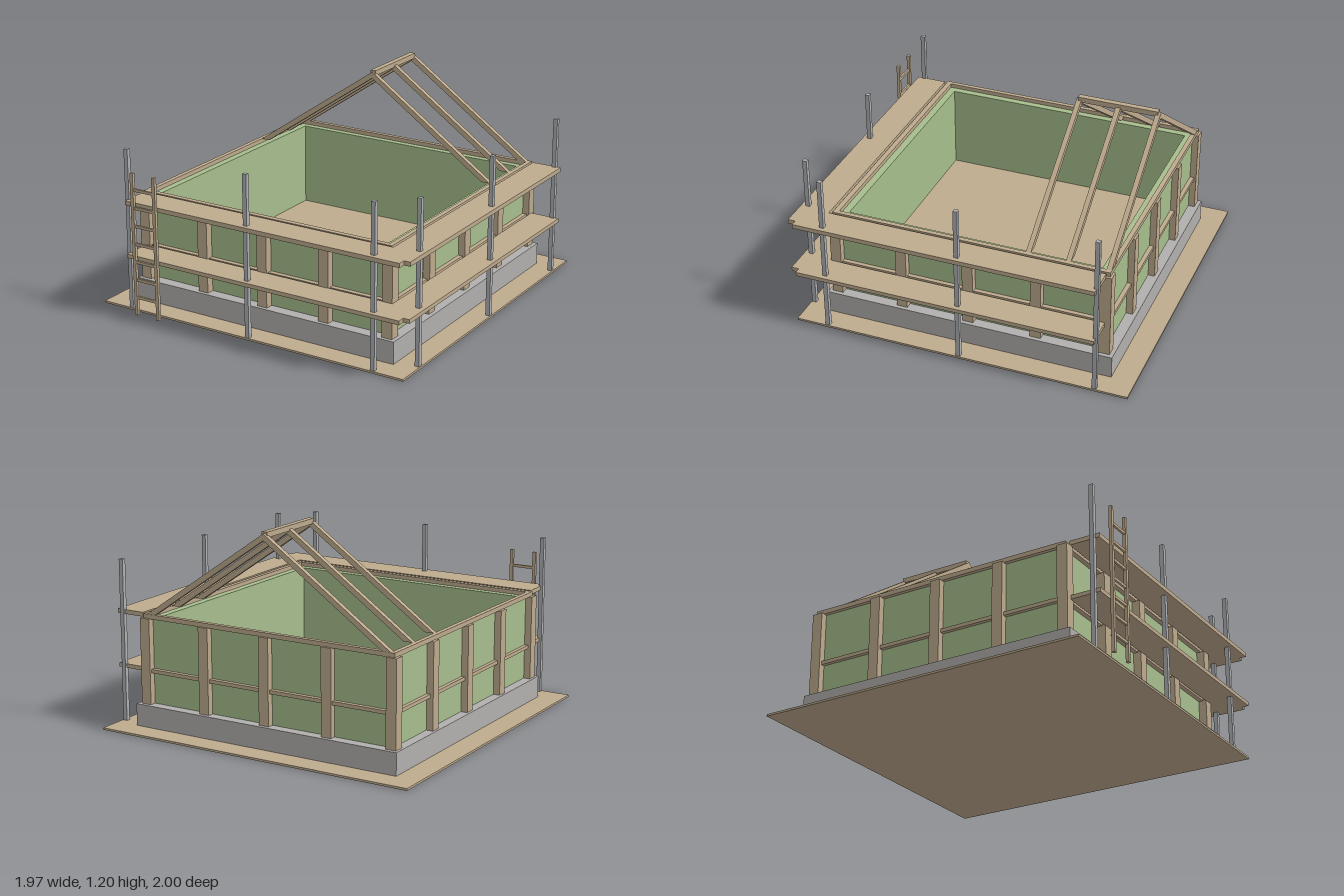
import * as THREE from 'three';

function material(name, color) {
  const m = new THREE.MeshStandardMaterial({ color });
  m.name = name;
  return m;
}
const timber = material('timber brown', 0xbfab8e);
const panel = material('panel green', 0xa7be8d);
const concrete = material('concrete grey', 0xb2b0ae);
const steel = material('steel grey', 0xb0b1b3);

// Box given by its min and max on each axis
function box(parent, name, mat, x0, x1, y0, y1, z0, z1) {
  const m = new THREE.Mesh(new THREE.BoxGeometry(x1 - x0, y1 - y0, z1 - z0), mat);
  m.name = name;
  m.position.set((x0 + x1) / 2, (y0 + y1) / 2, (z0 + z1) / 2);
  parent.add(m);
}

// Counter-clockwise rectangle in plan (x, -z)
const points = list => list.map(p => new THREE.Vector2(...p));
const rect = (x0, x1, z0, z1) => points([[x0, -z1], [x1, -z1], [x1, -z0], [x0, -z0]]);

// Flat plan raised from y0 to y1, with an optional opening
function raised(parent, name, mat, outline, y0, y1, hole) {
  const shape = new THREE.Shape(outline);
  if (hole) shape.holes.push(new THREE.Path(hole.slice().reverse()));
  const geo = new THREE.ExtrudeGeometry(shape, { depth: y1 - y0, bevelEnabled: false });
  geo.rotateX(-Math.PI / 2);
  const m = new THREE.Mesh(geo, mat);
  m.name = name;
  m.position.y = y0;
  parent.add(m);
}

function group(parent, name) {
  const g = new THREE.Group();
  g.name = name;
  parent.add(g);
  return g;
}

export function createModel() {
  const model = new THREE.Group();
  model.name = 'houseUnderConstruction';

  // Ground board, foundation and floor
  box(model, 'groundBoard', timber, -0.985, 0.96, 0, 0.012, -1, 0.942);
  raised(model, 'foundation', concrete, rect(-0.845, 0.827, -0.865, 0.812), 0.004, 0.139, rect(-0.76, 0.735, -0.78, 0.715));
  box(model, 'floor', timber, -0.76, 0.735, 0.012, 0.139, -0.78, 0.715);

  // Wall panels
  raised(model, 'walls', panel, rect(-0.79, 0.764, -0.805, 0.745), 0.139, 0.63, rect(-0.745, 0.72, -0.765, 0.703));

  // Timber frame: posts around the outside, and two rails
  const frame = group(model, 'timberFrame');
  const h = 0.031;
  for (let i = 0; i < 5; i++) for (let j = 0; j < 5; j++) {
    if (i % 4 && j % 4) continue;
    const x = -0.799 + i * 0.393, z = -0.812 + j * 0.393;
    box(frame, 'post', timber, x - h, x + h, 0.139, 0.63, z - h, z + h);
  }
  const railOut = rect(-0.812, 0.789, -0.83, 0.773);
  const railIn = rect(-0.785, 0.762, -0.803, 0.743);
  raised(frame, 'middleRail', timber, railOut, 0.32, 0.341, railIn);
  raised(frame, 'topPlate', timber, railOut, 0.628, 0.654, railIn);

  // Roof trusses and ridge beam
  const roof = group(model, 'roof');
  const cx = -0.012, top = 1.187, eave = 0.654, half = 0.775, v = 0.037;
  const inset = v * half / (top - eave);
  const truss = new THREE.ExtrudeGeometry(new THREE.Shape(points([
    [-half, eave], [-half + inset, eave], [0, top - v],
    [half - inset, eave], [half, eave], [0, top],
  ])), { depth: 0.028, bevelEnabled: false });
  for (const z of [-0.814, -0.589, -0.363]) {
    const m = new THREE.Mesh(truss, timber);
    m.name = 'rafterPair';
    m.position.set(cx, 0, z - 0.014);
    roof.add(m);
  }
  box(roof, 'ridgeBeam', timber, cx - 0.017, cx + 0.017, 1.165, 1.195, -0.815, -0.36);

  // Scaffold: two L-shaped decks and square poles
  const scaffold = group(model, 'scaffold');
  const deck = points([[-0.795, -0.787], [-0.795, -0.964], [0.945, -0.964], [0.945, -0.92],
    [0.982, -0.92], [0.982, 0.812], [0.805, 0.812], [0.805, -0.787]]);
  raised(scaffold, 'lowerDeck', timber, deck, 0.319, 0.342);
  raised(scaffold, 'upperDeck', timber, deck, 0.63, 0.655);
  const poles = [[-0.798, 0.926], [-0.013, 0.926], [0.774, 0.926], [0.943, 0.757], [0.943, -0.028], [0.943, -0.811]];
  for (const [x, z] of poles)
    box(scaffold, 'pole', steel, x - 0.0125, x + 0.0125, 0.01, 0.943, z - 0.0125, z + 0.0125);

  // Ladder
  const ladder = group(model, 'ladder');
  for (const x of [-0.716, -0.569])
    box(ladder, 'stile', timber, x - 0.01, x + 0.01, 0.006, 0.837, 0.982, 1);
  for (let i = 0; i < 7; i++) {
    const y = 0.112 + i * 0.105;
    box(ladder, 'rung', timber, -0.71, -0.575, y - 0.008, y + 0.008, 0.985, 0.997);
  }
  return model;
}
